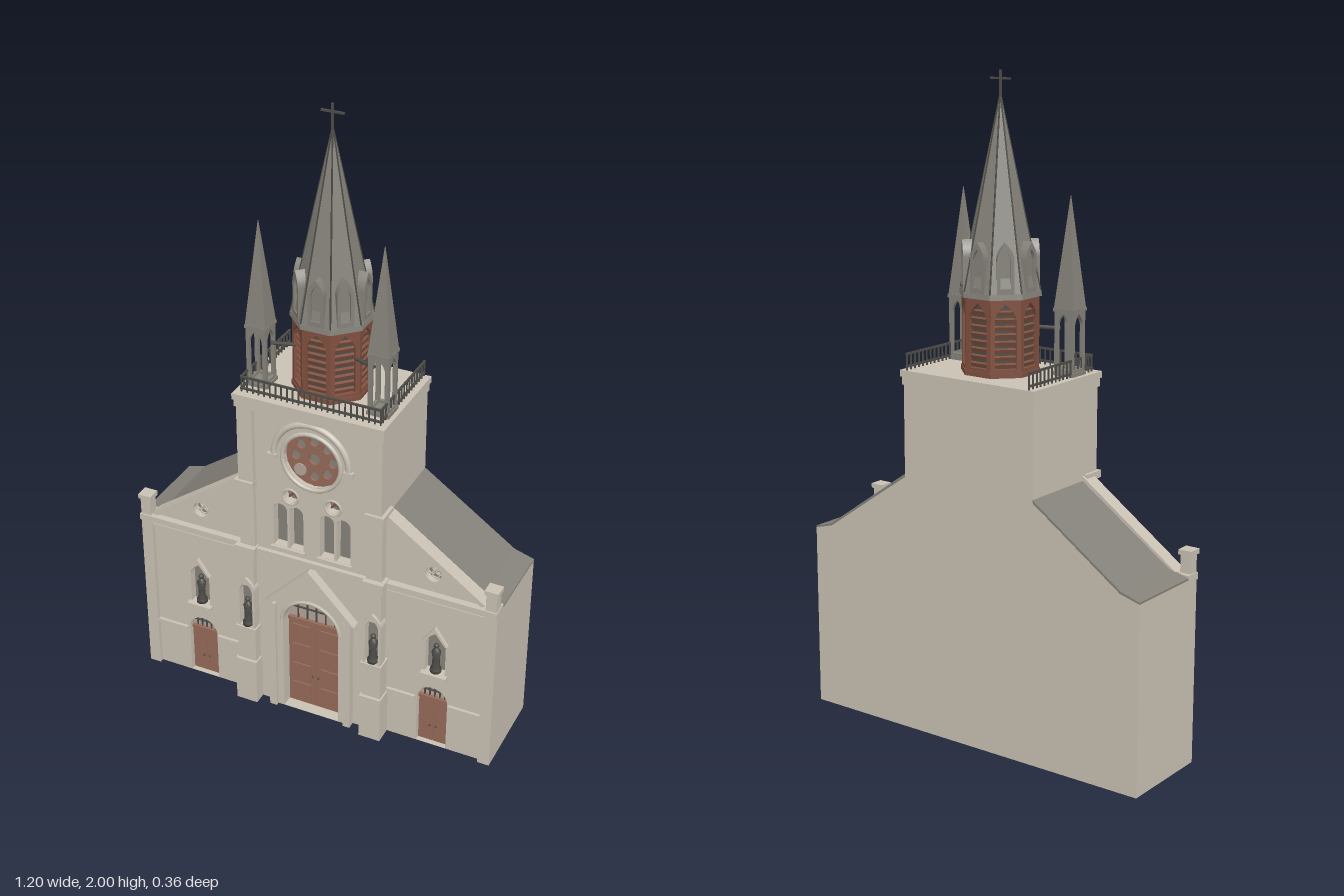
import * as THREE from 'three';

const mat = (name, color) => {
  const m = new THREE.MeshStandardMaterial({ color });
  m.name = name;
  return m;
};

export function createModel() {
  const stone = mat('stone', 0xc9c1b3), slate = mat('slate', 0x85827a), dark = mat('iron', 0x4d4c47);
  const wood = mat('doorWood', 0x966a5a), louver = mat('louverWood', 0x80503f), pane = mat('fanlightGlass', 0xb3a498);
  const root = new THREE.Group();
  root.name = 'church';

  const add = (name, geo, m, x = 0, y = 0, z = 0, parent = root) => {
    const mesh = new THREE.Mesh(geo, m);
    mesh.name = name;
    mesh.position.set(x, y, z);
    parent.add(mesh);
    return mesh;
  };
  // Box from x centre, bottom, top, back and front
  const box = (name, m, x, w, y0, y1, z0, z1, parent = root) =>
    add(name, new THREE.BoxGeometry(w, y1 - y0, z1 - z0), m, x, (y0 + y1) / 2, (z0 + z1) / 2, parent);
  const poly = pts => new THREE.Shape(pts.map(p => new THREE.Vector2(p[0], p[1])));
  const slab = (name, m, shape, z0, z1, parent = root) =>
    add(name, new THREE.ExtrudeGeometry(shape, { depth: z1 - z0, bevelEnabled: false, curveSegments: 10 }), m, 0, 0, z0, parent);
  const disc = (x, y, r) => new THREE.Shape().absarc(x, y, r, 0, Math.PI * 2, false);
  const arch = (x, w, y0, spring) => {
    const s = new THREE.Shape();
    s.moveTo(x - w / 2, y0).lineTo(x + w / 2, y0).lineTo(x + w / 2, spring);
    s.absarc(x, spring, w / 2, 0, Math.PI, false);
    return s.closePath();
  };
  const lancet = (x, w, y0, spring, top) => {
    const s = new THREE.Shape();
    s.moveTo(x - w / 2, y0).lineTo(x + w / 2, y0).lineTo(x + w / 2, spring);
    s.quadraticCurveTo(x + w / 2, (spring + top) / 2, x, top);
    s.quadraticCurveTo(x - w / 2, (spring + top) / 2, x - w / 2, spring);
    return s;
  };
  const rod = (name, m, a, b, r, parent = root) => {
    const p = new THREE.Vector3(...a), q = new THREE.Vector3(...b), d = q.clone().sub(p);
    const mesh = add(name, new THREE.CylinderGeometry(r, r, d.length(), 6), m, 0, 0, 0, parent);
    mesh.position.copy(p).add(q).multiplyScalar(0.5);
    mesh.quaternion.setFromUnitVectors(new THREE.Vector3(0, 1, 0), d.normalize());
  };
  const statue = (x, y, z) => {
    const g = new THREE.Group();
    g.name = 'statue';
    g.position.set(x, y, z);
    root.add(g);
    const prof = [[0, 0], [0.018, 0], [0.018, 0.012], [0.013, 0.014], [0.011, 0.05], [0.015, 0.075], [0.005, 0.09], [0, 0.09]];
    add('robe', new THREE.LatheGeometry(prof.map(p => new THREE.Vector2(...p)), 10), dark, 0, 0, 0, g);
    add('head', new THREE.SphereGeometry(0.009, 10, 8), dark, 0, 0.097, 0, g);
  };
  // Arched doorway: leaves, glazed fanlight and its bars
  const doorway = (x, w, spring, z) => {
    slab('fanlight', pane, arch(x, w, 0, spring), z, z + 0.004);
    for (const s of [-1, 1]) {
      box('doorLeaf', wood, x + s * w / 4, w / 2 - 0.002, 0, spring - 0.01, z, z + 0.012);
      add('doorKnob', new THREE.SphereGeometry(0.004, 8, 6), dark, x + s * 0.01, spring * 0.35, z + 0.014);
    }
    box('transom', wood, x, w, spring - 0.01, spring, z, z + 0.016);
    for (let i = -2; i <= 2; i++) {
      const bx = i * w / 6;
      box('fanlightBar', dark, x + bx, 0.004, spring, spring + Math.sqrt(w * w / 4 - bx * bx), z, z + 0.009);
    }
    box('fanlightCrossbar', dark, x, w * 0.88, spring + w * 0.2, spring + w * 0.2 + 0.004, z, z + 0.009);
  };

  // Main masses
  box('towerBody', stone, 0, 0.47, 0, 1.1, -0.17, 0.1);
  for (const s of [-1, 1]) {
    const P = pts => poly(pts.map(p => [p[0] * s, p[1]]));
    slab('wingBody', stone, P([[0.23, 0], [0.6, 0], [0.6, 0.577], [0.535, 0.595], [0.23, 0.806]]), -0.17, 0.09);
    slab('wingRoof', slate, P([[0.235, 0.803], [0.535, 0.595], [0.6, 0.577], [0.6, 0.583], [0.537, 0.602], [0.235, 0.812]]), -0.17, 0.088);
    // Wing front with its openings
    const front = P([[0.23, 0], [0.6, 0], [0.6, 0.59], [0.54, 0.59], [0.23, 0.808]]);
    front.holes.push(arch(s * 0.4, 0.1, 0.001, 0.175), lancet(s * 0.405, 0.066, 0.285, 0.39, 0.435), disc(s * 0.39, 0.65, 0.026));
    slab('wingFront', stone, front, 0.088, 0.12);
    slab('gableCoping', stone, P([[0.23, 0.808], [0.545, 0.588], [0.56, 0.595], [0.235, 0.826]]), 0.082, 0.13);
    box('nicheBack', slate, s * 0.405, 0.066, 0.285, 0.436, 0.088, 0.094);
    box('quatrefoilGlass', slate, s * 0.39, 0.054, 0.622, 0.678, 0.09, 0.098);
    for (let k = 0; k < 4; k++)
      add('quatrefoilLobe', new THREE.TorusGeometry(0.012, 0.003, 6, 12), stone,
        s * 0.39 + 0.012 * Math.cos(k * Math.PI / 2), 0.65 + 0.012 * Math.sin(k * Math.PI / 2), 0.1);
    doorway(s * 0.4, 0.1, 0.175, 0.091);
    statue(s * 0.405, 0.288, 0.112);
    box('nicheSill', stone, s * 0.405, 0.084, 0.275, 0.286, 0.115, 0.138);
    const hood = P([[0.363, 0.405], [0.371, 0.405], [0.405, 0.45], [0.439, 0.405], [0.447, 0.405], [0.405, 0.464]]);
    slab('nicheHood', stone, hood, 0.115, 0.134);
    // Mouldings, corner pier and finial post
    for (const [a, b] of [[0.25, 0.345], [0.455, 0.565]])
      box('stringCourse', stone, s * (a + b) / 2, b - a, 0.165, 0.178, 0.115, 0.13);
    box('wingCornice', stone, s * 0.415, 0.37, 0.567, 0.588, 0.1, 0.142);
    box('wingCorniceLower', stone, s * 0.405, 0.33, 0.545, 0.555, 0.1, 0.13);
    box('cornerPier', stone, s * 0.581, 0.038, 0, 0.567, 0.1, 0.134);
    box('cornerPost', stone, s * 0.58, 0.034, 0.585, 0.645, 0.103, 0.137);
    box('cornerPostCap', stone, s * 0.58, 0.044, 0.645, 0.66, 0.098, 0.142);

    // Tower pilasters with a statue niche at mid height
    const px = s * 0.215;
    box('pilasterPlinth', stone, px, 0.072, 0, 0.16, 0.09, 0.178);
    box('pilasterLower', stone, px, 0.062, 0.16, 0.27, 0.09, 0.168);
    box('pilasterLedge', stone, px, 0.07, 0.27, 0.288, 0.09, 0.174);
    const niche = lancet(px, 0.06, 0.288, 0.43, 0.475);
    niche.holes.push(lancet(px, 0.044, 0.292, 0.42, 0.458));
    slab('pilasterNiche', stone, niche, 0.13, 0.168);
    box('pilasterNicheBack', slate, px, 0.044, 0.29, 0.458, 0.13, 0.14);
    statue(px, 0.29, 0.155);
    box('pilasterMiddle', stone, px, 0.05, 0.44, 0.56, 0.09, 0.158);
    box('pilasterCapital', stone, px, 0.068, 0.56, 0.592, 0.09, 0.168);
    box('pilasterUpper', stone, s * 0.212, 0.05, 0.59, 0.81, 0.09, 0.15);
    box('pilasterBand', stone, px, 0.062, 0.808, 0.83, 0.09, 0.164);
    box('pilasterTop', stone, s * 0.21, 0.05, 0.83, 1.1, 0.09, 0.155);
  }

  // Tower front with openings
  const tower = poly([[-0.23, 0], [0.23, 0], [0.23, 1.1], [-0.23, 1.1]]);
  tower.holes.push(arch(0, 0.19, 0.001, 0.335), disc(0, 0.94, 0.092));
  for (const s of [-1, 1]) {
    tower.holes.push(disc(s * 0.07, 0.8, 0.024));
    for (const dx of [-0.027, 0.027]) tower.holes.push(arch(s * 0.078 + dx, 0.046, 0.612, 0.743));
    box('lancetGlass', slate, s * 0.078, 0.11, 0.61, 0.77, 0.1, 0.106);
    box('lancetSill', stone, s * 0.078, 0.115, 0.6, 0.611, 0.13, 0.145);
    box('oculusGlass', slate, s * 0.07, 0.05, 0.775, 0.825, 0.1, 0.106);
    for (let k = 0; k < 2; k++)
      box('oculusBar', louver, s * 0.07, 0.046, 0.797, 0.803, 0.106, 0.114).rotation.z = Math.PI / 4 + k * Math.PI / 2;
    add('oculusRing', new THREE.TorusGeometry(0.026, 0.004, 6, 20), stone, s * 0.07, 0.8, 0.136);
  }
  slab('towerFront', stone, tower, 0.095, 0.136);
  box('towerStringCourse', stone, 0, 0.37, 0.567, 0.588, 0.12, 0.15);

  // Rose window
  slab('roseGlass', slate, disc(0, 0.94, 0.092), 0.1, 0.106);
  const rose = disc(0, 0.94, 0.092);
  rose.holes.push(disc(0, 0.94, 0.018));
  for (let k = 0; k < 8; k++) rose.holes.push(disc(0.06 * Math.cos(k * Math.PI / 4), 0.94 + 0.06 * Math.sin(k * Math.PI / 4), 0.015));
  slab('roseTracery', wood, rose, 0.106, 0.116);
  slab('roseLightPane', pane, disc(-0.045, 0.895, 0.02), 0.116, 0.12);
  add('roseRing', new THREE.TorusGeometry(0.095, 0.007, 8, 32), stone, 0, 0.94, 0.136);
  add('roseHood', new THREE.TorusGeometry(0.122, 0.01, 8, 24, Math.PI), stone, 0, 0.945, 0.138);
  for (const s of [-1, 1]) box('roseHoodStop', stone, s * 0.125, 0.03, 0.93, 0.945, 0.13, 0.15);

  // Main portal
  const portal = poly([[-0.14, 0], [0.14, 0], [0.14, 0.41], [0, 0.548], [-0.14, 0.41]]);
  portal.holes.push(arch(0, 0.19, 0.001, 0.335));
  slab('portalFront', stone, portal, 0.13, 0.15);
  slab('portalGable', stone, poly([[-0.155, 0.405], [-0.13, 0.405], [0, 0.54], [0.13, 0.405], [0.155, 0.405], [0, 0.567]]), 0.135, 0.168);
  for (const s of [-1, 1]) box('portalPilaster', stone, s * 0.128, 0.024, 0, 0.405, 0.13, 0.162);
  add('portalArchMoulding', new THREE.TorusGeometry(0.1, 0.006, 6, 24, Math.PI), stone, 0, 0.335, 0.15);
  doorway(0, 0.19, 0.335, 0.1);
  for (const s of [-1, 1]) for (let r = 0; r < 4; r++)
    box('doorPanel', wood, s * 0.047, 0.06, 0.02 + r * 0.077, 0.08 + r * 0.077, 0.11, 0.117);

  // Tower cornice, terrace and railing
  box('towerFrieze', stone, 0, 0.48, 1.085, 1.11, -0.172, 0.16);
  box('terrace', stone, 0, 0.486, 1.11, 1.13, -0.177, 0.166);
  for (const y of [1.138, 1.176]) {
    box('frontRail', dark, 0, 0.45, y, y + 0.006, 0.138, 0.144);
    for (const s of [-1, 1]) box('sideRail', dark, s * 0.222, 0.006, y, y + 0.006, -0.172, 0.144);
  }
  for (let i = 0; i <= 24; i++) box('frontBaluster', dark, -0.222 + i * 0.0185, 0.004, 1.13, 1.178, 0.139, 0.143);
  for (const s of [-1, 1]) for (let i = 0; i < 17; i++)
    box('sideBaluster', dark, s * 0.222, 0.004, 1.13, 1.178, -0.172 + i * 0.0185, -0.168 + i * 0.0185);

  // Octagonal belfry and spire
  const steeple = new THREE.Group();
  steeple.name = 'steeple';
  steeple.position.z = -0.008;
  root.add(steeple);
  const k8 = Math.cos(Math.PI / 8);
  const octagon = (name, m, top, bottom, y0, y1) => {
    const g = new THREE.CylinderGeometry(top / k8, bottom / k8, y1 - y0, 8).toNonIndexed();
    g.computeVertexNormals();
    add(name, g, m, 0, (y0 + y1) / 2, 0, steeple).rotation.y = Math.PI / 8;
  };
  octagon('belfryCore', dark, 0.092, 0.092, 1.13, 1.36);
  octagon('belfryBase', louver, 0.111, 0.111, 1.13, 1.145);
  octagon('spireEave', slate, 0.113, 0.115, 1.358, 1.374);
  octagon('spire', slate, 0.003, 0.111, 1.374, 1.925);
  for (let i = 0; i < 8; i++) {
    const side = new THREE.Group();
    side.name = 'belfrySide';
    side.rotation.y = i * Math.PI / 4;
    steeple.add(side);
    const frame = poly([[-0.0445, 1.14], [0.0445, 1.14], [0.0445, 1.36], [-0.0445, 1.36]]);
    frame.holes.push(lancet(0, 0.062, 1.155, 1.295, 1.345));
    slab('belfryFrame', louver, frame, 0.095, 0.108, side);
    for (let j = 0; j < 8; j++)
      box('louverSlat', louver, 0, 0.064, 1.158 + j * 0.022, 1.17 + j * 0.022, 0.091, 0.1, side).rotation.x = 0.4;
    const dormer = lancet(0, 0.05, 1.374, 1.47, 1.52);
    dormer.holes.push(lancet(0, 0.03, 1.39, 1.465, 1.5));
    slab('dormer', slate, dormer, 0.07, 0.112, side);
    slab('dormerPanel', slate, lancet(0, 0.034, 1.38, 1.465, 1.505), 0.095, 0.102, side);
    const a = (i + 0.5) * Math.PI / 4, r = 0.111 / k8;
    rod('spireRib', dark, [r * Math.sin(a), 1.374, r * Math.cos(a)], [0.002 * Math.sin(a), 1.925, 0.002 * Math.cos(a)], 0.0025, steeple);
  }
  box('crossUpright', dark, 0, 0.006, 1.915, 2, -0.003, 0.003, steeple);
  box('crossArm', dark, 0, 0.07, 1.973, 1.979, -0.003, 0.003, steeple);

  // Corner pinnacles with struts to the belfry
  for (const s of [-1, 1]) {
    const p = new THREE.Group();
    p.name = 'pinnacle';
    p.position.set(s * 0.194, 0, 0.068);
    root.add(p);
    box('pinnacleBase', slate, 0, 0.07, 1.13, 1.142, -0.035, 0.035, p);
    for (let i = 0; i < 4; i++) {
      const side = new THREE.Group();
      side.name = 'pinnacleSide';
      side.rotation.y = i * Math.PI / 2;
      p.add(side);
      const f = poly([[-0.032, 1.14], [0.032, 1.14], [0.032, 1.325], [-0.032, 1.325]]);
      f.holes.push(lancet(0, 0.04, 1.15, 1.275, 1.312));
      slab('pinnacleArch', slate, f, 0.022, 0.032, side);
    }
    box('pinnacleEave', slate, 0, 0.07, 1.318, 1.328, -0.035, 0.035, p);
    const g = new THREE.CylinderGeometry(0.001, 0.047, 0.322, 4).toNonIndexed();
    g.computeVertexNormals();
    add('pinnacleSpire', g, slate, 0, 1.489, 0, p).rotation.y = Math.PI / 4;
    rod('strut', dark, [s * 0.165, 1.265, 0.062], [s * 0.095, 1.265, 0.04], 0.006);
  }
  return root;
}
